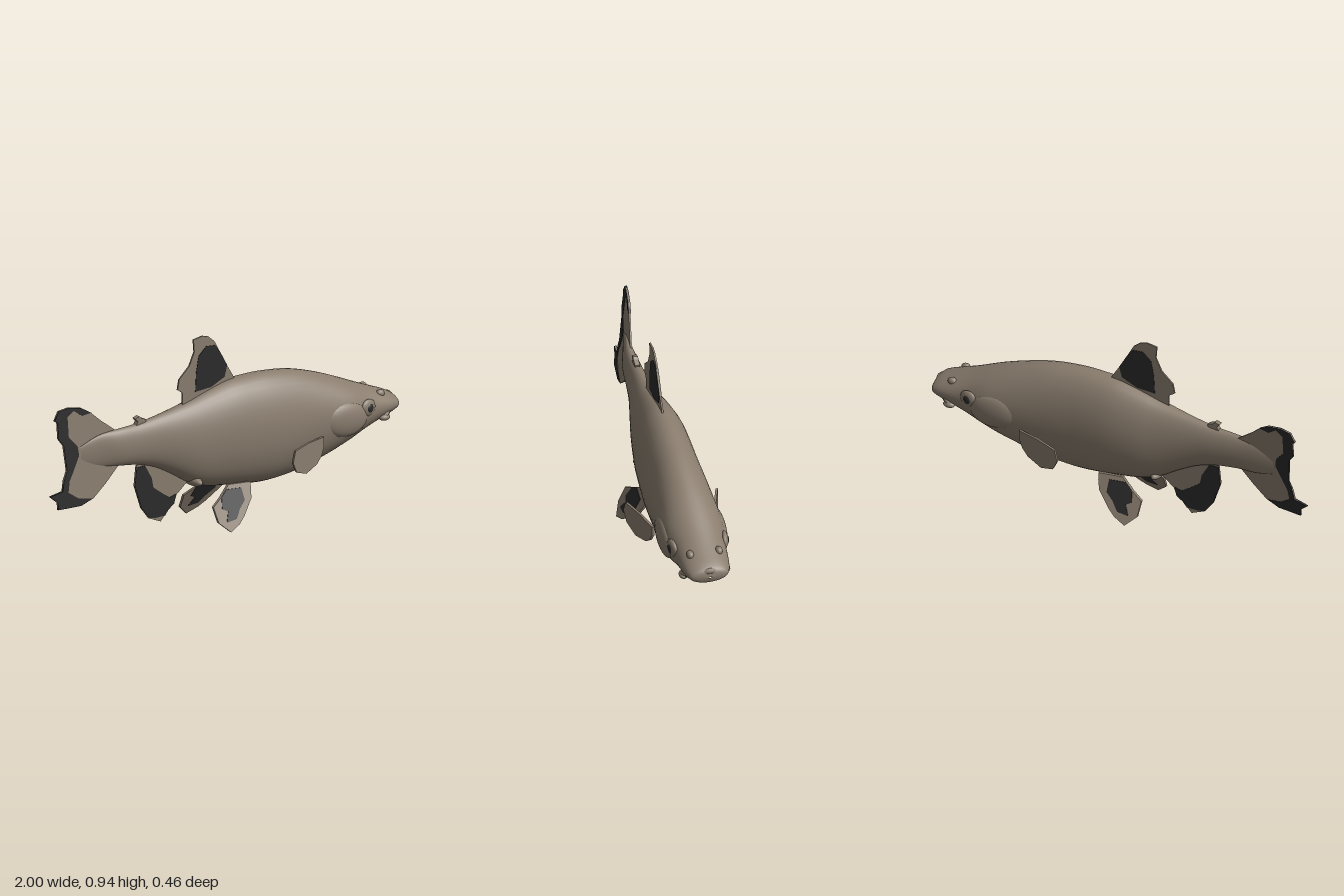
import * as THREE from 'three';

const skin = new THREE.MeshStandardMaterial({ color: 0x8a7d6e });
skin.name = 'skin';
const dark = new THREE.MeshStandardMaterial({ color: 0x2b2b2b });
dark.name = 'darkMarking';

function addMesh(parent, name, geometry, material) {
  const mesh = new THREE.Mesh(geometry, material);
  mesh.name = name;
  parent.add(mesh);
  return mesh;
}

// Thin plate from an outline in x, y; place(x, y) gives its z
function plate(points, thickness, place) {
  const shape = new THREE.Shape(points.map(([x, y]) => new THREE.Vector2(x, y)));
  const g = new THREE.ExtrudeGeometry(shape, { depth: thickness, bevelEnabled: false });
  const p = g.attributes.position;
  for (let i = 0; i < p.count; i++) {
    p.setZ(i, p.getZ(i) - thickness / 2 + place(p.getX(i), p.getY(i)));
  }
  g.computeVertexNormals();
  return g;
}

// A fin with an optional dark patch showing on both faces
function addFin(parent, name, outline, patch, place, thickness = 0.008) {
  const fin = new THREE.Group();
  fin.name = name;
  addMesh(fin, name + 'Web', plate(outline, thickness, place), skin);
  if (patch) addMesh(fin, name + 'Patch', plate(patch, thickness + 0.004, place), dark);
  parent.add(fin);
}

// Smooth body lofted through [x, top, bottom, halfWidth, zCentre]
function bodyGeometry() {
  const rows = [
    [-0.82, 0.52, 0.43, 0.006, -0.044], [-0.72, 0.56, 0.4, 0.02, -0.032],
    [-0.62, 0.572, 0.39, 0.036, -0.02], [-0.5, 0.578, 0.372, 0.046, -0.017],
    [-0.4, 0.592, 0.34, 0.057, -0.015], [-0.3, 0.61, 0.285, 0.075, -0.012],
    [-0.2, 0.632, 0.222, 0.095, -0.01], [-0.1, 0.66, 0.187, 0.114, -0.01],
    [0.02, 0.688, 0.168, 0.131, -0.007], [0.13, 0.694, 0.153, 0.138, -0.004],
    [0.25, 0.69, 0.146, 0.142, 0], [0.4, 0.668, 0.16, 0.146, 0],
    [0.55, 0.622, 0.197, 0.152, 0], [0.68, 0.57, 0.243, 0.152, 0],
    [0.8, 0.517, 0.29, 0.128, 0], [0.9, 0.475, 0.327, 0.116, 0],
    [0.96, 0.45, 0.348, 0.102, 0], [0.99, 0.43, 0.365, 0.08, 0], [1.0, 0.4, 0.395, 0.01, 0],
  ];
  const spline = (f) => new THREE.CatmullRomCurve3(rows.map(f), false, 'catmullrom', 0.5);
  const heights = spline(([x, t, b]) => new THREE.Vector3(x, t, b));
  const widths = spline(([x, , , w, z]) => new THREE.Vector3(x, w, z));
  const steps = (rows.length - 1) * 4, sides = 40, pos = [], index = [];
  for (let i = 0; i <= steps; i++) {
    const h = heights.getPoint(i / steps), w = widths.getPoint(i / steps);
    const mid = (h.y + h.z) / 2, half = (h.y - h.z) / 2;
    for (let j = 0; j < sides; j++) {
      const a = (j / sides) * Math.PI * 2;
      pos.push(Math.min(h.x, 1), mid + half * Math.sin(a), w.z + w.y * Math.cos(a));
      if (i < steps) {
        const k = (j + 1) % sides, r = i * sides, n = r + sides;
        index.push(r + j, n + j, n + k, r + j, n + k, r + k);
      }
    }
  }
  const g = new THREE.BufferGeometry();
  g.setAttribute('position', new THREE.Float32BufferAttribute(pos, 3));
  g.setIndex(index);
  g.computeVertexNormals();
  return g;
}

function addBall(parent, name, at, scale, material) {
  const mesh = addMesh(parent, name, new THREE.SphereGeometry(1, 24, 16), material);
  mesh.position.set(...at);
  mesh.scale.set(...scale);
  return mesh;
}

function addTube(parent, name, points, radius, material) {
  const curve = new THREE.CatmullRomCurve3(points.map((p) => new THREE.Vector3(...p)));
  return addMesh(parent, name, new THREE.TubeGeometry(curve, 32, radius, 8), material);
}

export function createModel() {
  const fish = new THREE.Group();
  fish.name = 'fish';
  addMesh(fish, 'body', bodyGeometry(), skin);

  // Tail fin, swept to one side with the upper lobe leaning further
  addFin(fish, 'tailFin',
    [[-0.62, 0.565], [-0.7, 0.628], [-0.755, 0.678], [-0.8, 0.705], [-0.87, 0.718], [-0.925, 0.71],
      [-0.95, 0.665], [-0.935, 0.655], [-0.935, 0.575], [-0.91, 0.54], [-0.9, 0.415], [-0.92, 0.37],
      [-0.93, 0.32], [-1, 0.305], [-0.96, 0.27], [-0.96, 0.235], [-0.835, 0.235], [-0.765, 0.26],
      [-0.695, 0.32], [-0.62, 0.395]],
    [[-0.75, 0.675], [-0.8, 0.705], [-0.87, 0.718], [-0.925, 0.71], [-0.95, 0.665], [-0.935, 0.655],
      [-0.935, 0.575], [-0.91, 0.54], [-0.9, 0.415], [-0.92, 0.37], [-0.93, 0.32], [-1, 0.305],
      [-0.96, 0.27], [-0.96, 0.235], [-0.835, 0.235], [-0.77, 0.26], [-0.845, 0.272], [-0.9, 0.31],
      [-0.89, 0.365], [-0.87, 0.4], [-0.83, 0.48], [-0.835, 0.525], [-0.88, 0.575], [-0.88, 0.675],
      [-0.845, 0.7], [-0.8, 0.668]],
    (x, y) => -0.02 + (x + 0.62) * 0.12 - (y - 0.48) * 0.1);

  // Dorsal fin
  addFin(fish, 'dorsalFin',
    [[0.09, 0.66], [0.07, 0.69], [0.025, 0.765], [-0.02, 0.845], [-0.05, 0.9], [-0.085, 0.93],
      [-0.12, 0.94], [-0.175, 0.932], [-0.17, 0.87], [-0.2, 0.805], [-0.26, 0.75], [-0.27, 0.7],
      [-0.24, 0.68], [-0.24, 0.6]],
    [[-0.165, 0.67], [-0.16, 0.765], [-0.145, 0.845], [-0.1, 0.885], [-0.045, 0.88], [-0.02, 0.845],
      [0.025, 0.765], [0.01, 0.71], [-0.07, 0.675]],
    () => -0.006);

  // Small rear back fin
  addFin(fish, 'adiposeFin',
    [[-0.46, 0.57], [-0.455, 0.592], [-0.485, 0.605], [-0.495, 0.615], [-0.52, 0.607],
      [-0.505, 0.59], [-0.52, 0.565]],
    null, () => -0.017, 0.024);

  // Anal fin
  addFin(fish, 'analFin',
    [[-0.2, 0.3], [-0.19, 0.24], [-0.27, 0.175], [-0.285, 0.135], [-0.32, 0.11], [-0.365, 0.06],
      [-0.435, 0.09], [-0.48, 0.15], [-0.52, 0.27], [-0.51, 0.37], [-0.4, 0.4]],
    [[-0.46, 0.36], [-0.42, 0.29], [-0.41, 0.24], [-0.35, 0.195], [-0.31, 0.17], [-0.275, 0.18],
      [-0.285, 0.135], [-0.32, 0.11], [-0.34, 0.085], [-0.4, 0.085], [-0.435, 0.092], [-0.48, 0.15],
      [-0.52, 0.27], [-0.51, 0.36]],
    () => -0.014);
  addBall(fish, 'vent', [-0.185, 0.233, 0], [0.028, 0.025, 0.075], skin);

  for (const [side, s] of [['left', 1], ['right', -1]]) {
    // Pectoral fins spread backwards from the flank
    addFin(fish, side + 'PectoralFin',
      [[0.26, 0.345], [0.37, 0.355], [0.485, 0.35], [0.485, 0.3], [0.465, 0.26], [0.43, 0.23],
        [0.345, 0.207], [0.27, 0.235], [0.242, 0.29]],
      null, (x) => s * (0.15 + (0.48 - x) * 0.32), 0.012);

    // Pelvic fins splay outwards below the belly
    addFin(fish, side + 'PelvicFin',
      [[0.095, 0.19], [0.09, 0.16], [0.075, 0.12], [0.01, 0.055], [-0.03, 0.025], [-0.09, 0],
        [-0.145, 0.05], [-0.15, 0.12], [-0.09, 0.155], [-0.03, 0.2]],
      [[0.035, 0.175], [0.035, 0.12], [-0.005, 0.09], [-0.04, 0.05], [-0.1, 0.045], [-0.075, 0.09],
        [-0.105, 0.105], [-0.09, 0.155], [-0.05, 0.182]],
      (x, y) => s * (0.085 + (0.18 - y) * 0.5), 0.014);

    // Gill cover, eye, nostril and mouth corner
    const gill = addBall(fish, side + 'GillCover', [0.63, 0.4, s * 0.13], [0.13, 0.085, 0.036], skin);
    gill.rotation.z = -0.1;
    const eye = new THREE.Group();
    eye.name = side + 'Eye';
    eye.position.set(0.77, 0.43, s * 0.127);
    eye.rotation.y = s * 0.2;
    addBall(eye, 'eyeRim', [0, 0, 0], [0.048, 0.042, 0.018], skin);
    addBall(eye, 'pupil', [0, 0, s * 0.012], [0.022, 0.023, 0.01], dark);
    fish.add(eye);
    addBall(fish, side + 'Nostril', [0.885, 0.462, s * 0.07], [0.024, 0.02, 0.018], skin);
    addBall(fish, side + 'MouthCorner', [0.885, 0.352, s * 0.105], [0.03, 0.016, 0.02], skin);
  }

  // Arched upper lip and the mouth line below it
  const arch = (drop, out) => [-1, -0.65, 0, 0.65, 1].map((u) => [
    0.985 + out - 0.1 * Math.pow(Math.abs(u), 2.2), 0.425 - drop - 0.065 * u * u, u * 0.108]);
  addTube(fish, 'upperLip', arch(0, 0), 0.014, skin);
  addTube(fish, 'mouthLine', arch(0.016, 0.004), 0.005, dark);
  return fish;
}
